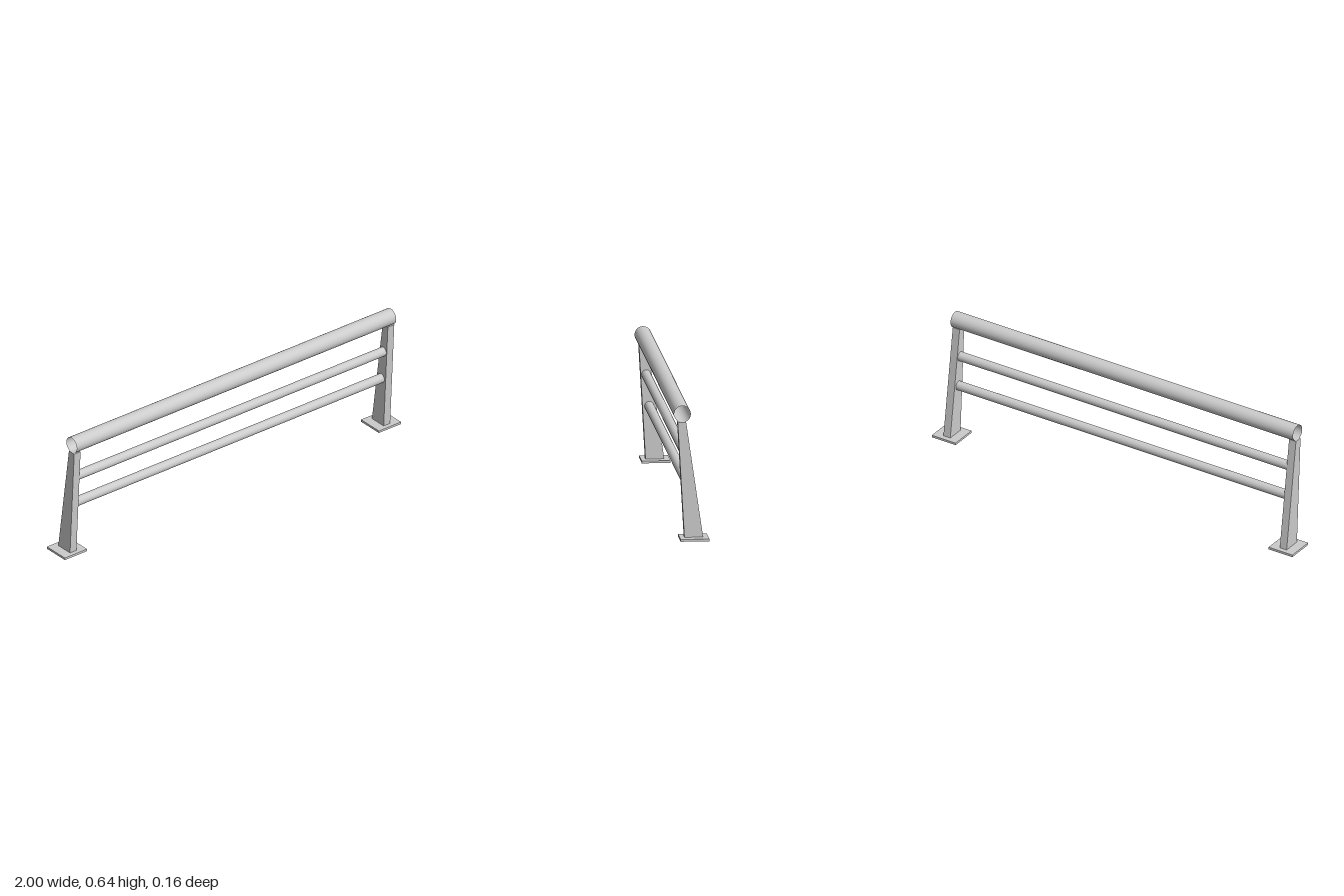
import * as THREE from 'three';

export function createModel() {
  const model = new THREE.Group();
  const material = new THREE.MeshStandardMaterial({ color: 0xcccccc, side: THREE.DoubleSide });

  function add(name, geometry, x, y, z) {
    const mesh = new THREE.Mesh(geometry, material);
    mesh.name = name;
    mesh.position.set(x, y, z);
    model.add(mesh);
  }

  // Open horizontal tube along x
  function addTube(name, radius, halfLength, y, z) {
    const tube = new THREE.CylinderGeometry(radius, radius, halfLength * 2, 40, 1, true);
    add(name, tube.rotateZ(Math.PI / 2), 0, y, z);
  }

  addTube('handrail', 0.039, 0.95, 0.603, 0.039);
  addTube('upperBar', 0.0225, 0.948, 0.42, 0.027);
  addTube('lowerBar', 0.0225, 0.948, 0.27, 0.0125);

  // Post side outline (z, y): leans forward and narrows to the top
  const outline = new THREE.Shape([
    new THREE.Vector2(-0.06, 0),
    new THREE.Vector2(0.029, 0),
    new THREE.Vector2(0.061, 0.565),
    new THREE.Vector2(0.022, 0.565),
  ]);
  const thickness = 0.038;

  for (const [side, s] of [['left', 1], ['right', -1]]) {
    // Turn the extrusion so that its outline lies in the z-y plane
    const post = new THREE.ExtrudeGeometry(outline, { depth: thickness, bevelEnabled: false });
    post.translate(0, 0, -thickness / 2).rotateY(-Math.PI / 2);
    add(side + 'Post', post, s * 0.933, 0, 0);

    // Base plate, which the post passes through
    add(side + 'BasePlate', new THREE.BoxGeometry(0.132, 0.011, 0.134), s * 0.934, 0.0145, -0.015);
  }

  return model;
}
